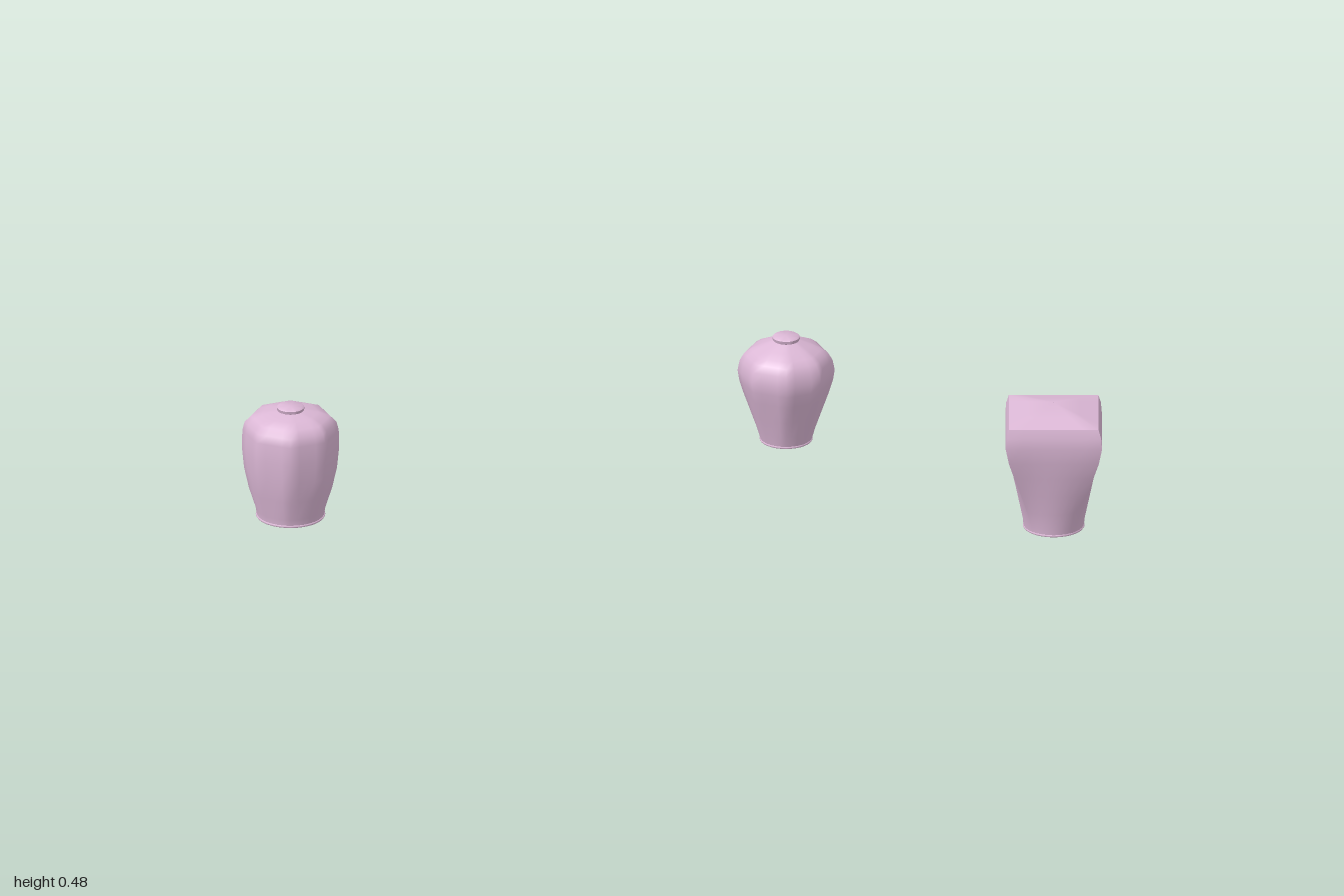
import * as THREE from 'three';
import { toCreasedNormals } from 'three/addons/utils/BufferGeometryUtils.js';

const material = new THREE.MeshStandardMaterial({ color: 0xdcb8d6, side: THREE.DoubleSide });

// Radius factor of a regular polygon at angle a; corners start at angle "corner"
function polygonFactor(a, sides, corner) {
  const step = (2 * Math.PI) / sides;
  const local = ((((a - corner) % step) + step) % step) - step / 2;
  return 1 / Math.cos(local);
}

// Open shell lofted through rings [y, radius, blend], where blend goes from circle (0) to polygon (1)
function shell(rings, segments, factor) {
  const pos = [], index = [];
  rings.forEach(([y, r, blend]) => {
    for (let j = 0; j < segments; j++) {
      const a = (j / segments) * 2 * Math.PI;
      const rr = r * (1 + (factor(a) - 1) * blend);
      pos.push(Math.cos(a) * rr, y, Math.sin(a) * rr);
    }
  });
  for (let i = 0; i < rings.length - 1; i++) {
    for (let j = 0; j < segments; j++) {
      const k = (j + 1) % segments;
      const a = i * segments + j, b = i * segments + k;
      const c = a + segments, d = b + segments;
      index.push(a, c, b, b, c, d);
    }
  }
  const g = new THREE.BufferGeometry();
  g.setAttribute('position', new THREE.Float32BufferAttribute(pos, 3));
  g.setIndex(index);
  g.computeVertexNormals();
  return g;
}

function add(group, name, geometry, y = 0) {
  const mesh = new THREE.Mesh(geometry, material);
  mesh.name = name;
  mesh.position.y = y;
  group.add(mesh);
  return mesh;
}

// Thin bead around the open bottom
function addRim(group, radius, y) {
  const g = new THREE.TorusGeometry(radius, 0.003, 6, 32);
  g.rotateX(Math.PI / 2);
  add(group, 'bottomRim', g, y);
}

// Faceted round jar with a small button on top
function roundJar(name, x, rings, buttonY) {
  const group = new THREE.Group();
  group.name = name;
  group.position.x = x;
  const inset = Math.cos(Math.PI / 8);
  add(group, 'body', shell(rings, 32, (a) => inset * polygonFactor(a, 8, 0)));
  addRim(group, rings[0][1], rings[0][0] + 0.003);
  const profile = [[0.03, 0], [0.032, 0.003], [0.032, 0.008], [0.028, 0.011], [0, 0.011]];
  const button = new THREE.LatheGeometry(profile.map((p) => new THREE.Vector2(...p)), 24);
  add(group, 'topButton', toCreasedNormals(button, 0.9), buttonY);
  return group;
}

// Square-shouldered jar that tapers to a round mouth, with a low pyramid top
function squareJar(name, x) {
  const group = new THREE.Group();
  group.name = name;
  group.position.x = x;
  const rings = [
    [0.002, 0.07, 0], [0.02, 0.072, 0.05], [0.06, 0.08, 0.25], [0.11, 0.09, 0.5],
    [0.16, 0.1, 0.75], [0.2, 0.107, 0.92], [0.24, 0.112, 1], [0.265, 0.11, 1],
    [0.286, 0.104, 1], [0.297, 0.06, 1], [0.312, 0.0005, 1],
  ];
  const body = shell(rings, 32, (a) => polygonFactor(a, 4, Math.PI / 4));
  add(group, 'body', toCreasedNormals(body, 0.6));
  addRim(group, 0.069, 0.003);
  return group;
}

export function createModel() {
  const model = new THREE.Group();
  model.name = 'jars';
  model.add(
    roundJar('barrelJar', -0.887, [
      [0.03, 0.078, 0], [0.05, 0.081, 0.2], [0.1, 0.097, 0.6], [0.15, 0.108, 1],
      [0.2, 0.113, 1], [0.245, 0.112, 1], [0.265, 0.107, 1], [0.28, 0.092, 1],
      [0.29, 0.065, 0.8], [0.296, 0.03, 0],
    ], 0.295),
    roundJar('taperedJar', 0.265, [
      [0.22, 0.059, 0], [0.25, 0.068, 0.3], [0.295, 0.084, 0.7], [0.34, 0.1, 1],
      [0.37, 0.109, 1], [0.395, 0.113, 1], [0.42, 0.108, 1], [0.437, 0.098, 1],
      [0.448, 0.083, 1], [0.459, 0.06, 0.8], [0.471, 0.03, 0],
    ], 0.471),
    squareJar('squareJar', 0.887),
  );
  return model;
}
